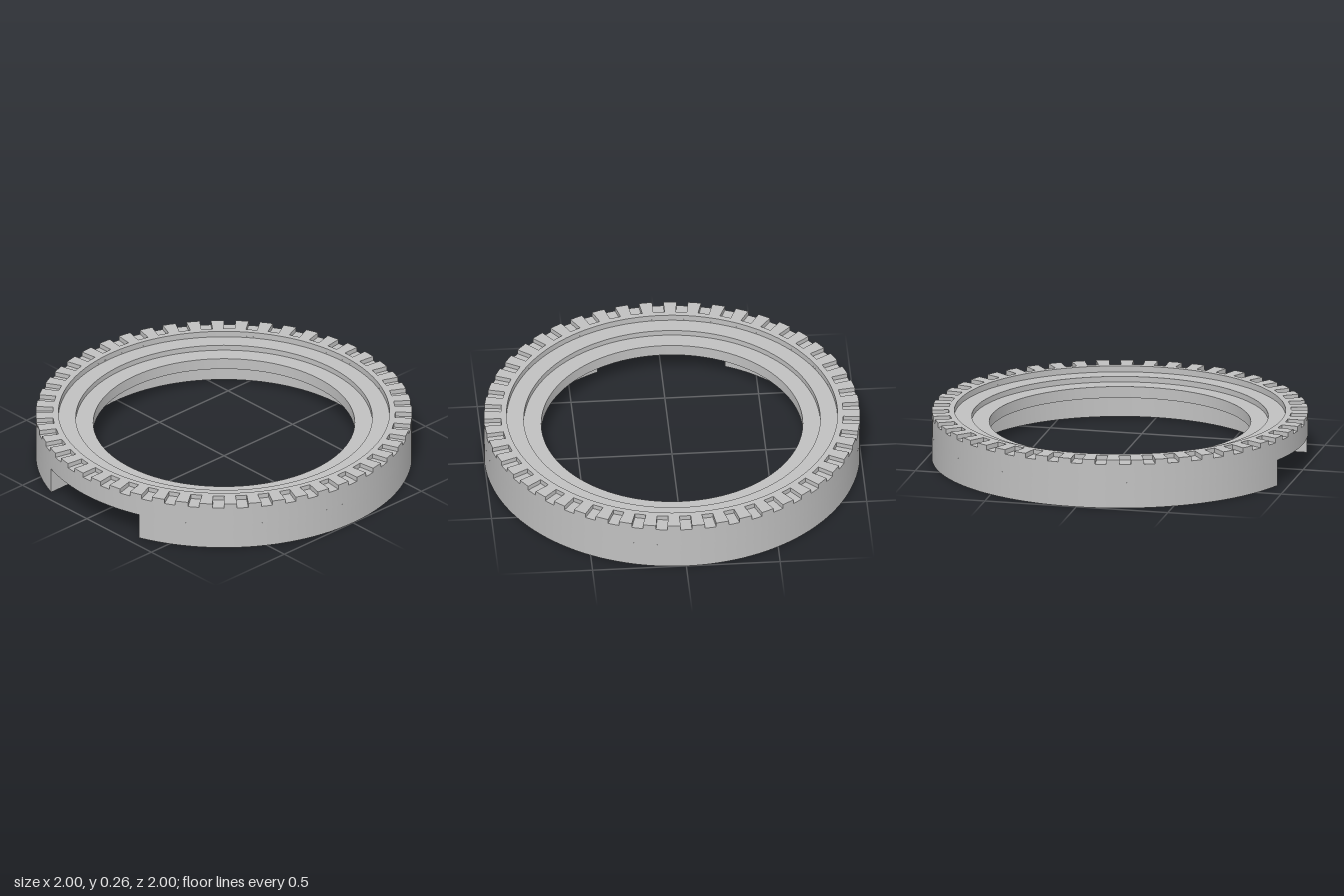
import * as THREE from 'three';
import { toCreasedNormals } from 'three/addons/utils/BufferGeometryUtils.js';

const OUTER = 1, SKIRT_INNER = 0.83, RIM_INNER = 0.88;
const LEDGE_Y = 0.14, SLOT_Y = 0.24, TOP_Y = 0.265;
const SLOTS = 48, SLOT_HALF = 0.03, SLOT_INNER = 0.91;
const NOTCH_HALF = 0.34, HOLE_DEPTH = 0.1;

// Extrude a plan-view shape upwards between two heights (shape -y is the front)
function slab(shape, y0, y1) {
  const geo = new THREE.ExtrudeGeometry(shape, { depth: y1 - y0, bevelEnabled: false, curveSegments: 128 });
  geo.rotateX(-Math.PI / 2).translate(0, y0, 0);
  return toCreasedNormals(geo, 0.5);
}

// C-shaped skirt with a parallel-sided gap at the front
function skirtShape() {
  const a = Math.asin(NOTCH_HALF / OUTER), b = Math.asin(NOTCH_HALF / SKIRT_INNER);
  const shape = new THREE.Shape();
  shape.absarc(0, 0, OUTER, -Math.PI / 2 + a, 1.5 * Math.PI - a, false);
  shape.absarc(0, 0, SKIRT_INNER, 1.5 * Math.PI - b, -Math.PI / 2 + b, true);
  shape.closePath();
  return shape;
}

// Rim with evenly spaced slots open to the outside
function toothShape() {
  const points = [];
  const step = (2 * Math.PI) / SLOTS, half = Math.asin(SLOT_HALF);
  for (let i = 0; i < SLOTS; i++) {
    const angle = i * step;
    const add = (x, y) => points.push(new THREE.Vector2(x, y).rotateAround(new THREE.Vector2(), angle));
    const edge = Math.cos(half);
    add(edge, -SLOT_HALF);
    add(SLOT_INNER, -SLOT_HALF);
    add(SLOT_INNER, SLOT_HALF);
    add(edge, SLOT_HALF);
    for (let k = 1; k < 4; k++) {
      const t = half + ((step - 2 * half) * k) / 4;
      add(Math.cos(t), Math.sin(t));
    }
  }
  const shape = new THREE.Shape(points);
  shape.holes.push(new THREE.Path().absarc(0, 0, RIM_INNER, 0, 2 * Math.PI, true));
  return shape;
}

export function createModel() {
  const group = new THREE.Group();
  const grey = new THREE.MeshStandardMaterial({ color: 0xc0c0c0 });
  grey.name = 'light grey';
  const add = (name, geometry) => {
    const mesh = new THREE.Mesh(geometry, grey);
    mesh.name = name;
    group.add(mesh);
  };

  // Lower skirt with four blind holes in its underside
  const drilled = skirtShape();
  for (let i = 0; i < 4; i++) {
    const a = Math.PI / 4 + (i * Math.PI) / 2;
    drilled.holes.push(new THREE.Path().absarc(0.92 * Math.cos(a), 0.92 * Math.sin(a), 0.032, 0, 2 * Math.PI, true));
  }
  add('drilledSkirt', slab(drilled, 0, HOLE_DEPTH));
  add('upperSkirt', slab(skirtShape(), HOLE_DEPTH, LEDGE_Y));

  // Stepped ring body
  const profile = [
    [0.695, LEDGE_Y], [OUTER, LEDGE_Y], [OUTER, SLOT_Y], [RIM_INNER, SLOT_Y], [RIM_INNER, 0.232],
    [0.788, 0.232], [0.788, 0.202], [0.695, 0.202], [0.695, LEDGE_Y],
  ].map(([x, y]) => new THREE.Vector2(x, y));
  add('steppedRing', toCreasedNormals(new THREE.LatheGeometry(profile, 192), 0.5));

  // Slotted top rim
  add('toothedRim', slab(toothShape(), SLOT_Y, TOP_Y));
  return group;
}
